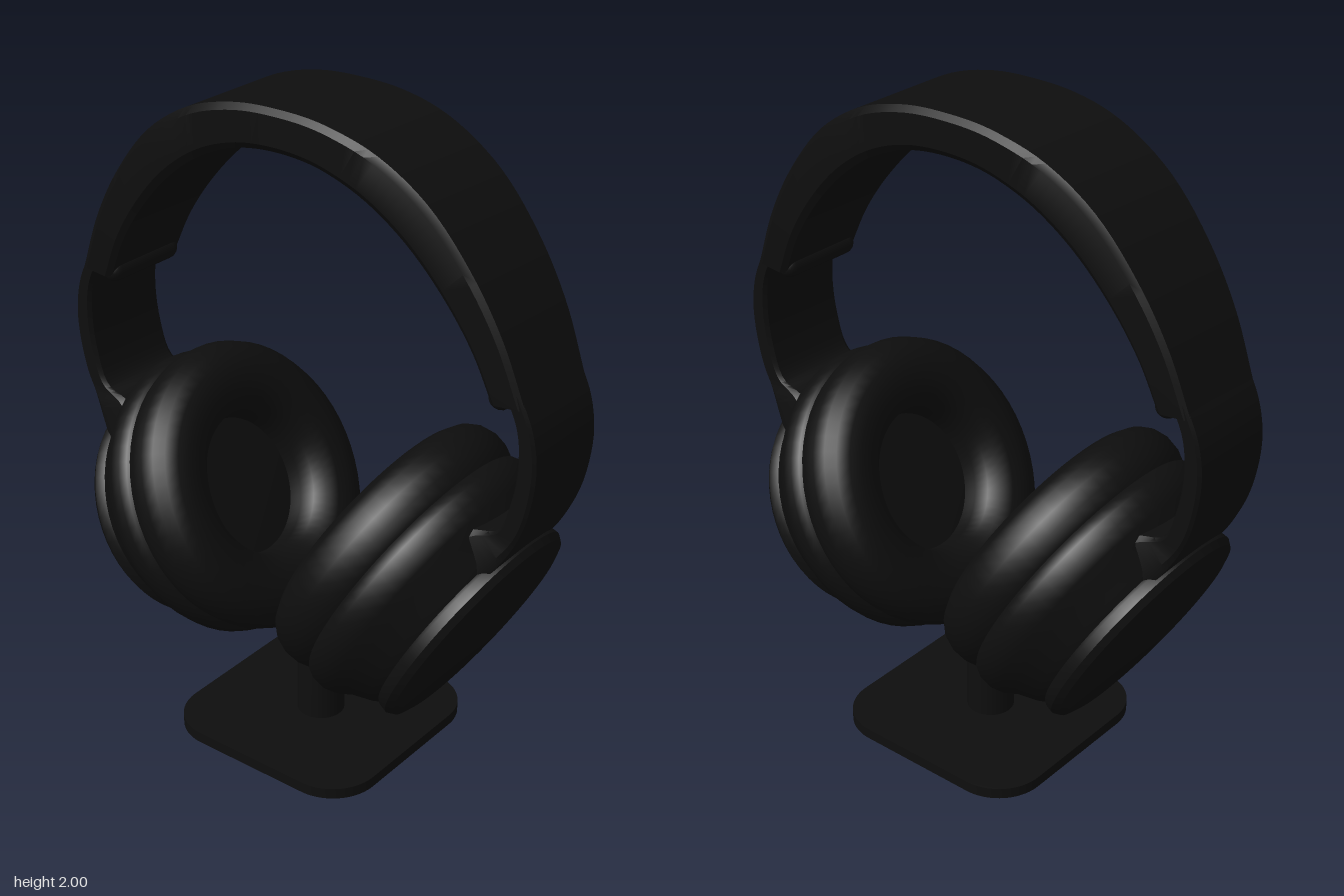
import * as THREE from 'three';
import { toCreasedNormals } from 'three/addons/utils/BufferGeometryUtils.js';

const black = new THREE.MeshStandardMaterial({ color: 0x0e0e0e });
black.name = 'matte black';

function part(name, geometry, parent) {
  const mesh = new THREE.Mesh(geometry, black);
  mesh.name = name;
  parent.add(mesh);
  return mesh;
}

// Bevelled strap lofted between an outer and an inner curve; half(t) is the half depth
function strap(outer, inner, half, steps) {
  const curve = (pts) => new THREE.CatmullRomCurve3(pts.map(([x, y]) => new THREE.Vector3(x, y, 0)));
  const oc = curve(outer), ic = curve(inner);
  const section = [[1, -0.94], [1, 0.94], [0.85, 1], [0.15, 1], [0, 0.92], [0, -0.92], [0.15, -1], [0.85, -1]];
  const n = section.length, pos = [], idx = [];
  for (let i = 0; i <= steps; i++) {
    const t = i / steps, o = oc.getPoint(t), p = ic.getPoint(t), h = half(t);
    for (const [a, b] of section) pos.push(p.x + (o.x - p.x) * a, p.y + (o.y - p.y) * a, b * h);
  }
  for (let i = 0; i < steps; i++) {
    for (let j = 0; j < n; j++) {
      const a = i * n + j, b = i * n + (j + 1) % n, c = a + n, d = b + n;
      idx.push(a, c, d, a, d, b);
    }
  }
  const last = steps * n;
  for (let j = 1; j < n - 1; j++) idx.push(0, j, j + 1, last, last + j + 1, last + j);
  const geo = new THREE.BufferGeometry();
  geo.setAttribute('position', new THREE.Float32BufferAttribute(pos, 3));
  geo.setIndex(idx);
  return toCreasedNormals(geo, 0.5);
}

// Round cup part from [axial position, radius] pairs
function turned(profile) {
  const pts = profile.map(([y, r]) => new THREE.Vector2(r, y));
  return toCreasedNormals(new THREE.LatheGeometry(pts, 56), 0.6);
}

const mirrored = (pts) => [...pts, ...pts.slice(0, -1).reverse().map(([x, y]) => [-x, y])];

function createSide() {
  const side = new THREE.Group();

  // Slider arm, widening at the foot where it grips the cup
  part('sliderArm', strap(
    [[0.62, 0.76], [0.71, 0.87], [0.77, 0.98], [0.8, 1.08], [0.812, 1.2], [0.795, 1.3], [0.755, 1.39]],
    [[0.53, 0.84], [0.6, 0.95], [0.7, 0.98], [0.74, 1.08], [0.755, 1.2], [0.745, 1.3], [0.7, 1.4]],
    (t) => 0.15 + 0.06 * Math.max(0, 1 - t / 0.3) ** 1.5, 28), side);

  // Rounded lip under the band end
  const lip = part('bandLip', new THREE.CapsuleGeometry(0.035, 0.22, 6, 16), side);
  lip.rotation.x = Math.PI / 2;
  lip.position.set(0.678, 1.355, 0);

  // Tilted ear cup: local y points inward, local x up the cup
  const cup = new THREE.Group();
  cup.name = 'earCup';
  cup.position.set(0.363, 0.673, 0.015);
  cup.rotation.z = 1.075;
  cup.scale.z = 0.95;
  side.add(cup);
  part('outerPlate', turned([[-0.245, 0], [-0.25, 0.315], [-0.24, 0.345], [-0.22, 0.358],
    [-0.195, 0.355], [-0.18, 0.345], [-0.17, 0]]), cup);
  part('housing', turned([[-0.19, 0], [-0.19, 0.345], [-0.165, 0.365], [-0.11, 0.395], [-0.08, 0.422],
    [-0.045, 0.437], [-0.01, 0.438], [0.015, 0.428], [0.03, 0.41], [0.035, 0]]), cup);
  part('earCushion', turned([[0.0, 0.2], [0.0, 0.4], [0.025, 0.423], [0.06, 0.438], [0.1, 0.442], [0.14, 0.432],
    [0.17, 0.41], [0.19, 0.375], [0.197, 0.335], [0.192, 0.29], [0.175, 0.25], [0.145, 0.225],
    [0.1, 0.213], [0.04, 0.21]]), cup);
  part('speakerCover', turned([[0.03, 0], [0.03, 0.23], [0.055, 0.23], [0.065, 0]]), cup);
  return side;
}

export function createModel() {
  const model = new THREE.Group();
  model.name = 'headphonesOnStand';

  // Headband, widest over the crown
  part('headband', strap(
    mirrored([[0.77, 1.355], [0.7, 1.53], [0.605, 1.69], [0.47, 1.845], [0.31, 1.945], [0.15, 1.99], [0, 2]]),
    mirrored([[0.665, 1.345], [0.605, 1.475], [0.515, 1.605], [0.4, 1.725], [0.27, 1.815], [0.14, 1.865], [0, 1.88]]),
    (t) => 0.152 + 0.038 * Math.min(1, 2.6 * Math.min(t, 1 - t)), 64), model);

  // Two matching sides, the second turned half way round
  for (const [name, turn] of [['leftSide', 0], ['rightSide', Math.PI]]) {
    const side = createSide();
    side.name = name;
    side.rotation.y = turn;
    model.add(side);
  }

  // Stand: post on a rounded square foot
  const post = part('standPost', new THREE.CylinderGeometry(0.073, 0.073, 0.36, 32), model);
  post.position.set(0, 0.21, -0.005);

  const w = 0.345, r = 0.15, shape = new THREE.Shape();
  [[1, 1, 0], [-1, 1, 1], [-1, -1, 2], [1, -1, 3]].forEach(([sx, sy, k]) =>
    shape.absarc(sx * (w - r), sy * (w - r), r, k * Math.PI / 2, (k + 1) * Math.PI / 2, false));
  const foot = part('standBase', toCreasedNormals(new THREE.ExtrudeGeometry(shape, {
    depth: 0.034, bevelEnabled: false, curveSegments: 10 }), 0.6), model);
  foot.rotation.x = -Math.PI / 2;
  foot.position.set(0, 0.002, -0.007);

  const screw = part('baseScrew', new THREE.CylinderGeometry(0.035, 0.035, 0.006, 24), model);
  screw.position.set(0, 0.003, -0.007);
  return model;
}
